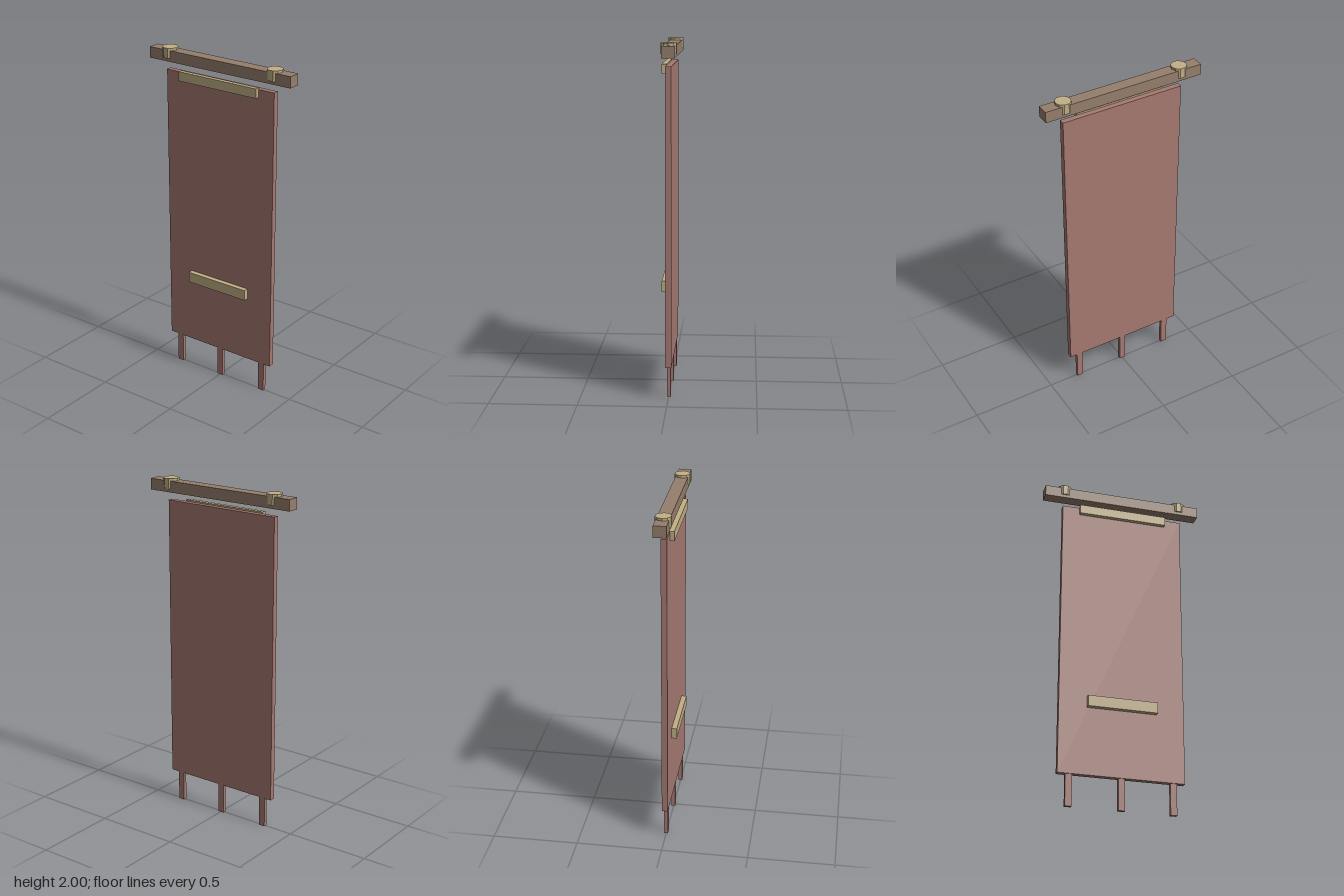
import * as THREE from 'three';

const material = (color) => new THREE.MeshStandardMaterial({ color, flatShading: true });

export function createModel() {
  const model = new THREE.Group();
  model.name = 'hangingBanner';
  const cloth = material(0xa67a72);
  const wood = material(0x967f6c);
  const gold = material(0xc2b085);

  // Box given by its lower and upper limits on each axis
  const addBox = (name, mat, [x0, x1], [y0, y1], [z0, z1]) => {
    const mesh = new THREE.Mesh(new THREE.BoxGeometry(x1 - x0, y1 - y0, z1 - z0), mat);
    mesh.position.set((x0 + x1) / 2, (y0 + y1) / 2, (z0 + z1) / 2);
    mesh.name = name;
    model.add(mesh);
  };

  // Cloth panel with its two raised trim strips
  addBox('clothPanel', cloth, [-0.369, 0.367], [0.184, 1.871], [-0.018, 0.016]);
  addBox('upperTrim', gold, [-0.267, 0.265], [1.825, 1.88], [0.014, 0.041]);
  addBox('lowerTrim', gold, [-0.206, 0.204], [0.583, 0.647], [0.014, 0.046]);

  // Tassels along the bottom edge
  ['rightTassel', 'middleTassel', 'leftTassel'].forEach((name, i) => {
    const x = -0.303 + i * 0.302;
    addBox(name, cloth, [x - 0.019, x + 0.019], [0, 0.19], [-0.012, 0.01]);
  });

  // Crossbar
  addBox('crossbar', wood, [-0.481, 0.479], [1.921, 1.986], [-0.041, 0.031]);

  // Ten-sided pegs sunk into the crossbar, with corners pointing along x
  const pegGeometry = new THREE.CylinderGeometry(0.0455, 0.0455, 0.06, 10);
  pegGeometry.rotateY(Math.PI / 2);
  for (const side of [-1, 1]) {
    const peg = new THREE.Mesh(pegGeometry, gold);
    peg.position.set(side * 0.358 - 0.001, 1.97, -0.004);
    peg.name = side < 0 ? 'rightPeg' : 'leftPeg';
    model.add(peg);
  }

  return model;
}
